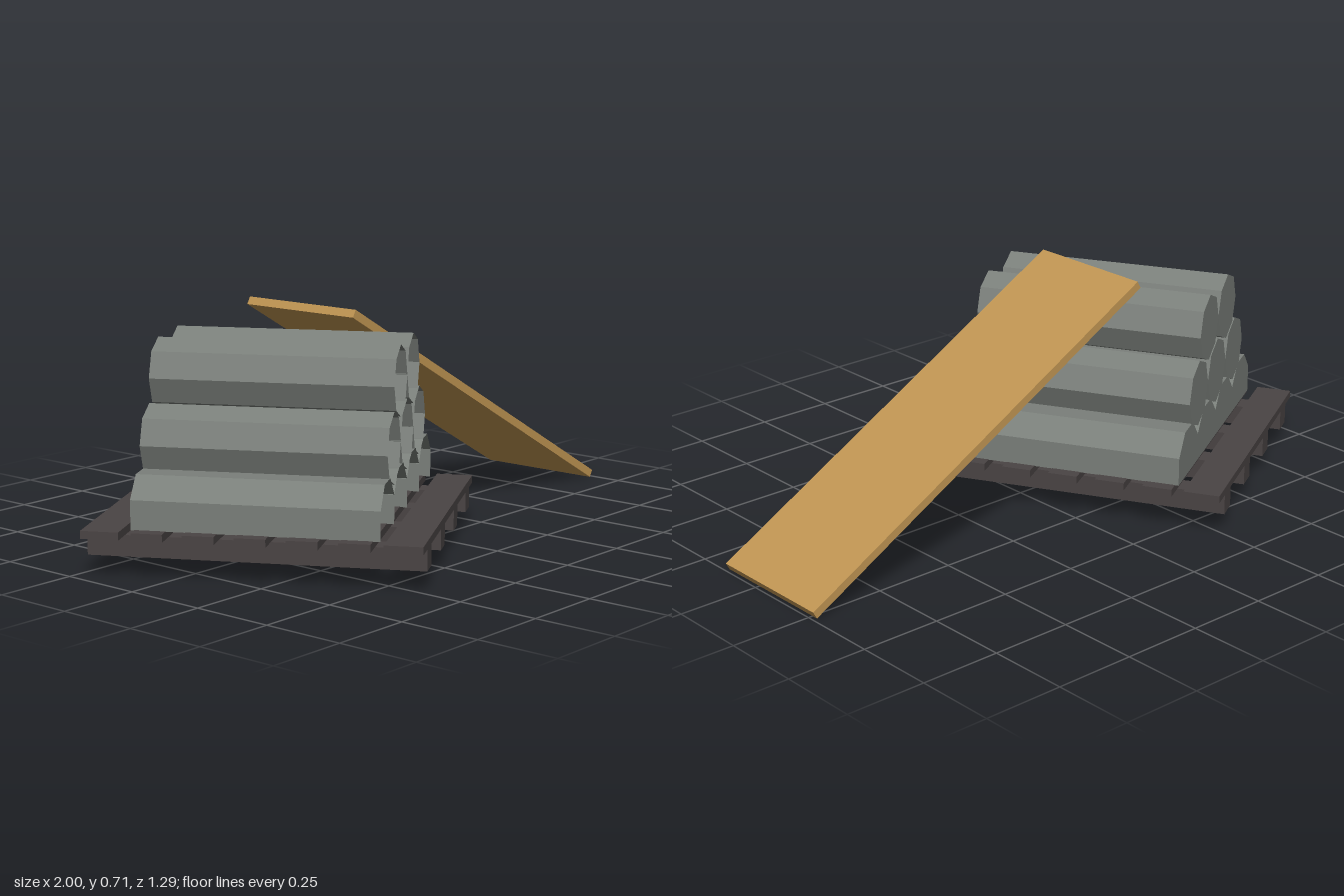
import * as THREE from 'three';

export function createModel() {
  const model = new THREE.Group();
  const make = (name, color, side = THREE.FrontSide) => {
    const m = new THREE.MeshStandardMaterial({ color, side, flatShading: true });
    m.name = name;
    return m;
  };
  const darkWood = make('darkWood', 0x4a4444);
  const greyMetal = make('greyMetal', 0x7a7f7a, THREE.DoubleSide);
  const plankWood = make('plankWood', 0xc09552);

  const add = (parent, name, geometry, material, x, y, z) => {
    const mesh = new THREE.Mesh(geometry, material);
    mesh.name = name;
    mesh.position.set(x, y, z);
    parent.add(mesh);
    return mesh;
  };

  // Loaded pallet, turned on the ground
  const load = new THREE.Group();
  load.name = 'loadedPallet';
  load.position.set(-0.368, 0, 0);
  load.rotation.y = 0.508;
  model.add(load);

  // Deck: two wide outer slats and five narrow inner ones
  for (let i = -3; i <= 3; i++) {
    const outer = Math.abs(i) === 3;
    const z = outer ? Math.sign(i) * 0.43 : i * 0.147;
    add(load, 'deckSlat', new THREE.BoxGeometry(0.905, 0.023, outer ? 0.11 : 0.09), darkWood, 0, 0.1285, z);
  }
  // Four runners below the deck
  for (let i = 0; i < 4; i++) {
    add(load, 'runner', new THREE.BoxGeometry(0.068, 0.062, 0.97), darkWood, -0.353 + i * 0.2353, 0.086, 0);
  }

  // Hollow eight-sided pipe along z, open in front and closed at the back
  const length = 0.71;
  const addPipe = (name, radius, sides, start, x, y) => {
    const sweep = sides * Math.PI / 4;
    const pipe = new THREE.Group();
    pipe.name = name;
    pipe.position.set(x, y, 0.005);
    load.add(pipe);
    const wall = new THREE.CylinderGeometry(radius, radius, length, sides, 1, true, start, sweep);
    wall.rotateX(Math.PI / 2);
    add(pipe, 'pipeWall', wall, greyMetal, 0, 0, 0);
    const rim = [];
    for (let i = 0; i < sides + (sides < 8 ? 1 : 0); i++) {
      const a = start + i * Math.PI / 4;
      rim.push(new THREE.Vector2(Math.sin(a) * radius, -Math.cos(a) * radius));
    }
    const cap = new THREE.ShapeGeometry(new THREE.Shape(rim));
    cap.rotateY(Math.PI);
    add(pipe, 'pipeBackCap', cap, greyMetal, 0, 0, -length / 2);
  };

  // Stack of four, three and two; the lowest row is cut off at the deck
  const r = 0.104;
  for (let row = 0; row < 3; row++) {
    const count = 4 - row;
    for (let i = 0; i < count; i++) {
      const x = (i - (count - 1) / 2) * 0.207;
      const y = 0.182 + row * 0.175;
      if (row === 0) addPipe('bottomPipe', r / Math.cos(Math.PI / 8), 5, Math.PI * 3 / 8, x, y);
      else addPipe(row === 1 ? 'middlePipe' : 'topPipe', r, 8, 0, x, y);
    }
  }

  // Plank leaning on the stack
  const plank = add(model, 'leaningPlank', new THREE.BoxGeometry(1.4, 0.025, 0.417), plankWood, 0.381, 0.3535, -0.062);
  plank.rotation.z = -0.51;

  return model;
}
